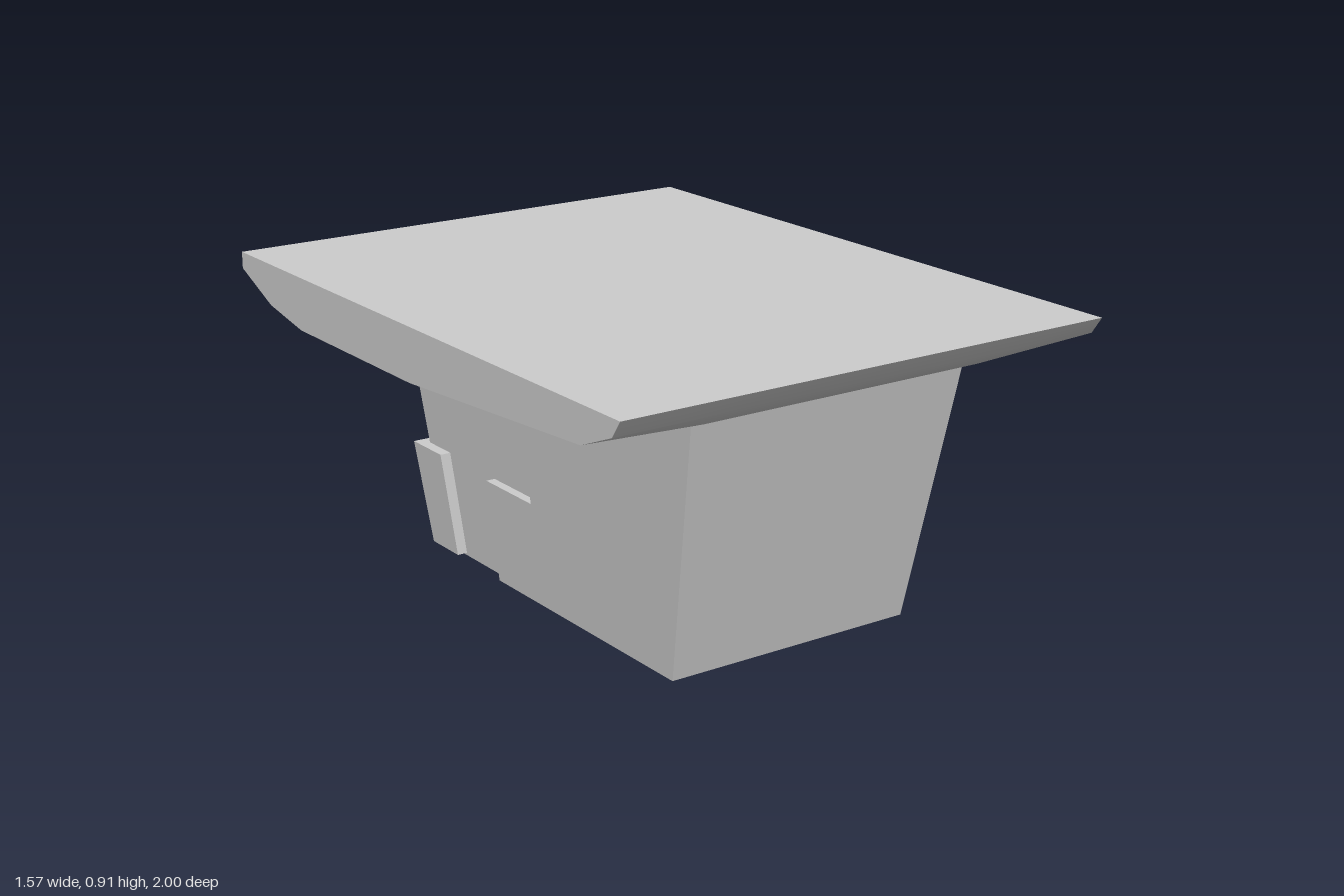
import * as THREE from 'three';
import { toCreasedNormals } from 'three/addons/utils/BufferGeometryUtils.js';

const material = new THREE.MeshStandardMaterial({ color: 0xcccccc });
const CENTRE_X = 0.04;

function addMesh(group, geometry, name) {
  const mesh = new THREE.Mesh(geometry, material);
  mesh.name = name;
  group.add(mesh);
}

// Upright slab with an [x, z] outline at ground level; all walls flare outward with height.
function flaredSlab(outline, y0, y1) {
  const shape = new THREE.Shape(outline.map(([x, z]) => new THREE.Vector2(x, -z)));
  const geo = new THREE.ExtrudeGeometry(shape, { depth: y1 - y0, bevelEnabled: false });
  geo.rotateX(-Math.PI / 2).translate(0, y0, 0);
  const p = geo.attributes.position;
  for (let i = 0; i < p.count; i++) {
    const y = p.getY(i);
    p.setX(i, CENTRE_X + (p.getX(i) - CENTRE_X) * (1 + 0.18 * y));
    p.setZ(i, p.getZ(i) * (1 + 0.32 * y));
  }
  geo.computeVertexNormals();
  return geo;
}

// Wide flat-topped roof with a curved underside that dips toward the body.
function roofGeometry() {
  const profile = [
    [1, 0.91], [0.965, 0.86], [0.83, 0.805], [0, 0.752],
    [-0.63, 0.752], [-0.82, 0.785], [-1, 0.86], [-1, 0.91],
  ];
  const shape = new THREE.Shape(profile.map(([z, y]) => new THREE.Vector2(-z, y)));
  const geo = new THREE.ExtrudeGeometry(shape, { depth: 3, steps: 3, bevelEnabled: false });
  geo.rotateY(Math.PI / 2);
  const stations = [-0.785, -0.42, 0.495, 0.785];
  const p = geo.attributes.position;
  for (let i = 0; i < p.count; i++) {
    const k = Math.round(p.getX(i));
    const z = p.getZ(i);
    const inner = k === 1 || k === 2;
    if (inner && p.getY(i) < 0.82 && z > -0.7) p.setY(i, p.getY(i) - 0.016);
    p.setX(i, stations[k]);
  }
  return toCreasedNormals(geo, 0.65);
}

export function createModel() {
  const group = new THREE.Group();
  const left = 0.44, right = -0.36, recessed = -0.333;
  const front = 0.62, back = -0.6, stepY = 0.31;

  // Lower walls: the right side steps in toward the back
  addMesh(group, flaredSlab([
    [right, front], [left, front], [left, back],
    [recessed, back], [recessed, -0.26], [right, -0.26],
  ], 0, stepY), 'lowerBody');

  // Upper walls: longer side recess and a shallow opening in the back
  addMesh(group, flaredSlab([
    [right, front], [left, front], [left, back],
    [0.2, back], [0.2, back + 0.045], [-0.075, back + 0.045], [-0.075, back],
    [recessed, back], [recessed, -0.04], [right, -0.04],
  ], stepY, 0.82), 'upperBody');

  // Low band wrapping around the back corners
  addMesh(group, flaredSlab([
    [0.465, -0.49], [0.465, -0.635], [-0.365, -0.635], [-0.365, -0.49],
    [recessed + 0.005, -0.49], [recessed + 0.005, back + 0.005],
    [left - 0.005, back + 0.005], [left - 0.005, -0.49],
  ], 0.008, 0.32), 'backBand');

  addMesh(group, roofGeometry(), 'roof');
  return group;
}
